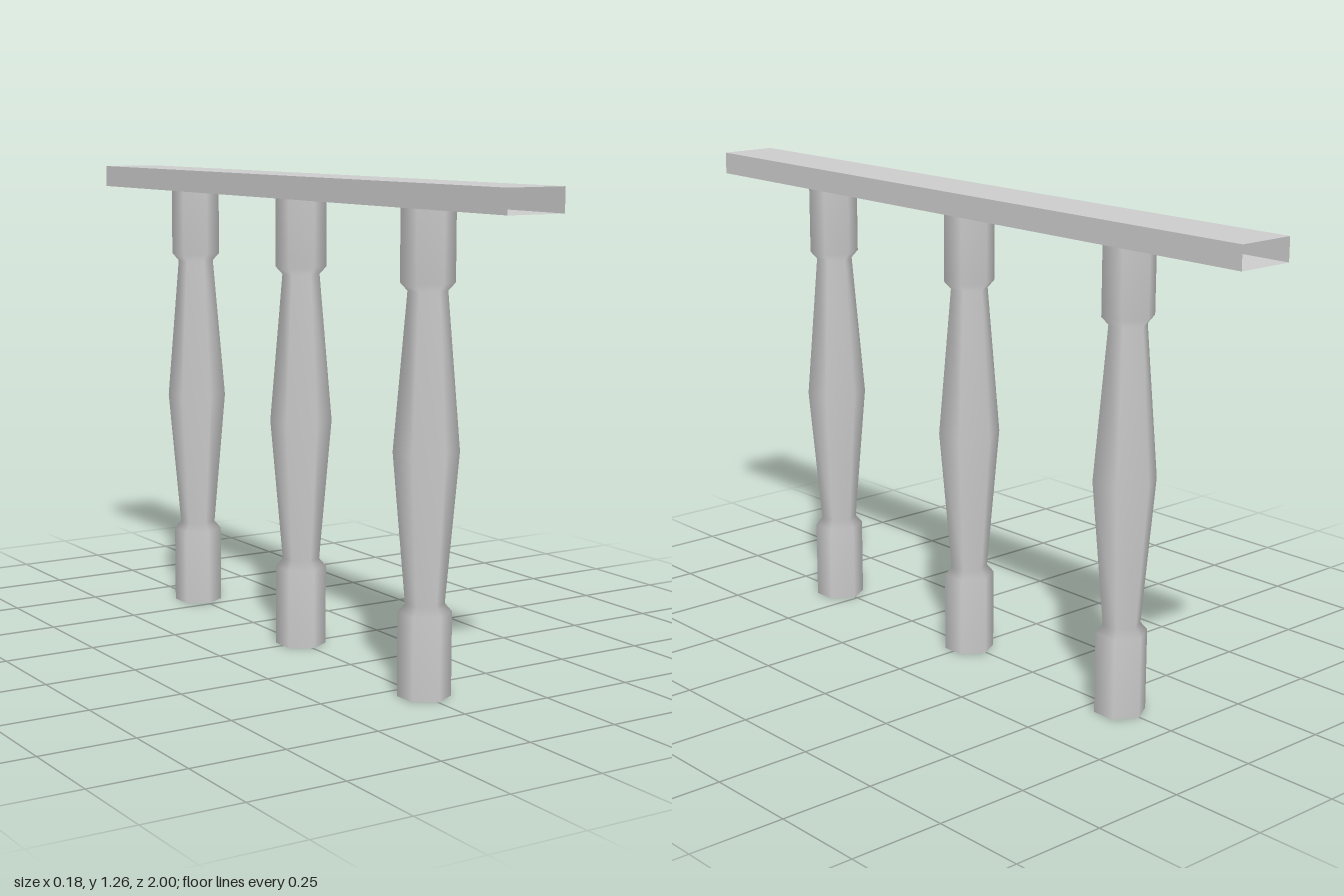
import * as THREE from 'three';

const material = new THREE.MeshStandardMaterial({ color: 0xcccccc, side: THREE.DoubleSide });

// Six-sided turned post, smooth shaded and open at both ends
function createBaluster() {
  const profile = [
    [0.067, 0], [0.067, 0.213], [0.049, 0.234], [0.0817, 0.61],
    [0.049, 1.0], [0.067, 1.02], [0.067, 1.225],
  ].map(([r, y]) => new THREE.Vector2(r, y));
  return new THREE.Mesh(new THREE.LatheGeometry(profile, 6), material);
}

// Hollow rectangular rail, open at the ends and running slightly askew
function createHandrail() {
  const width = 0.16, height = 0.06, length = 2, skew = -0.01;
  const geometry = new THREE.BoxGeometry(width, height, length);
  geometry.setIndex(Array.from(geometry.index.array).slice(0, 24)); // drop the two end faces
  const p = geometry.attributes.position;
  for (let i = 0; i < p.count; i++) p.setX(i, p.getX(i) + skew * p.getZ(i));
  geometry.clearGroups();
  geometry.computeVertexNormals();
  const rail = new THREE.Mesh(geometry, material);
  rail.position.y = 1.23;
  return rail;
}

export function createModel() {
  const model = new THREE.Group();
  model.name = 'balustrade';

  const rail = createHandrail();
  rail.name = 'handrail';
  model.add(rail);

  ['frontBaluster', 'middleBaluster', 'backBaluster'].forEach((name, i) => {
    const post = createBaluster();
    post.name = name;
    post.position.set(0.003, 0, 0.576 * (1 - i));
    model.add(post);
  });
  return model;
}
